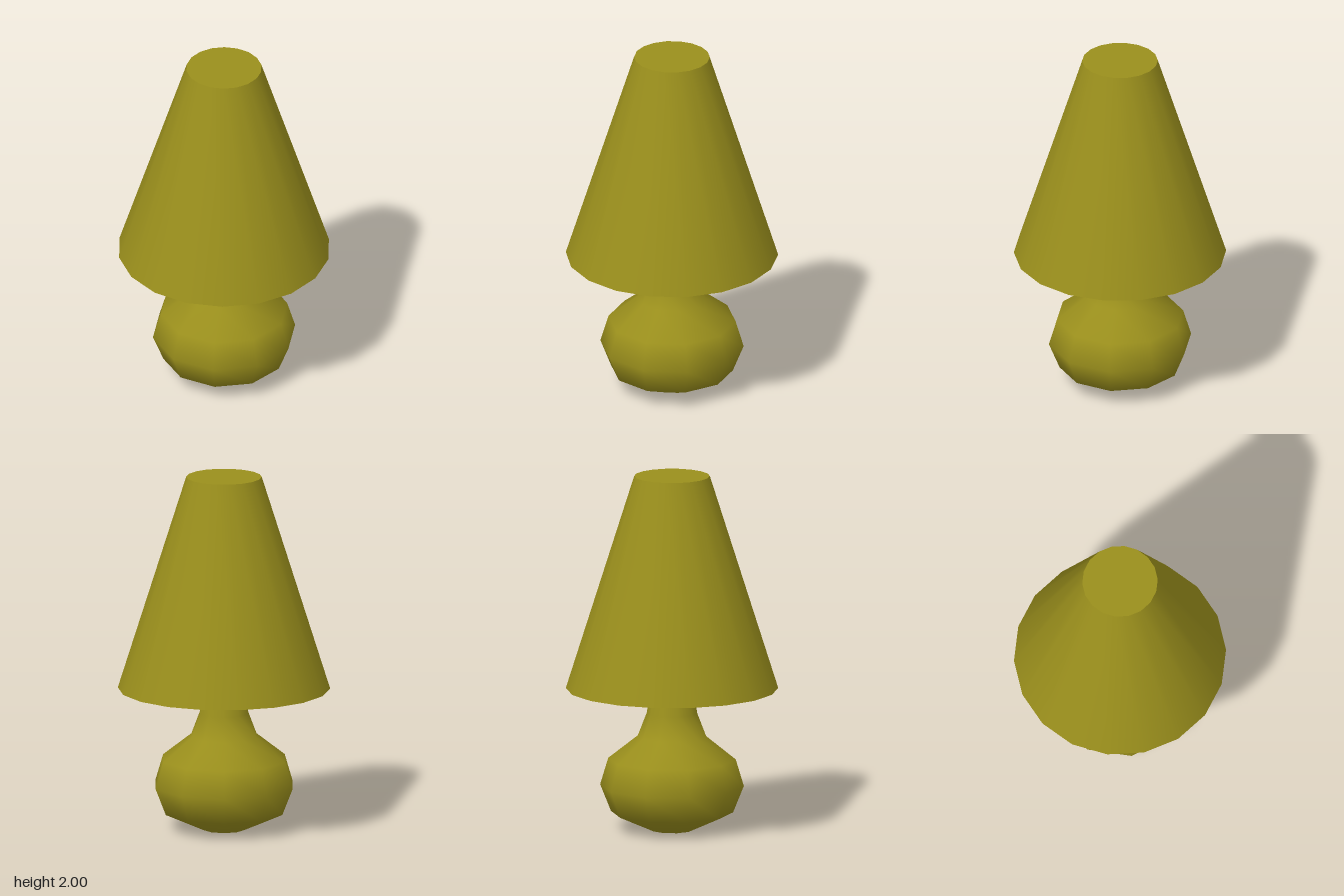
import * as THREE from 'three';

const material = new THREE.MeshStandardMaterial({ color: 0x9a8f1c });

// Turned surface from [radius, height] points; a corner faces +x
function turned(name, sides, profile) {
  const points = profile.map(([r, y]) => new THREE.Vector2(r, y));
  const mesh = new THREE.Mesh(new THREE.LatheGeometry(points, sides, Math.PI / 2), material);
  mesh.name = name;
  return mesh;
}

// Tapered bar between two points
function bar(name, from, to, r0, r1) {
  const dir = to.clone().sub(from);
  const mesh = new THREE.Mesh(new THREE.CylinderGeometry(r1, r0, dir.length(), 4).toNonIndexed(), material);
  mesh.geometry.computeVertexNormals();
  mesh.position.copy(from).add(to).multiplyScalar(0.5);
  mesh.quaternion.setFromUnitVectors(new THREE.Vector3(0, 1, 0), dir.normalize());
  mesh.name = name;
  return mesh;
}

export function createModel() {
  const lamp = new THREE.Group();
  lamp.name = 'tableLamp';

  // Round-bellied base with a tall neck
  const base = new THREE.Group();
  base.name = 'base';
  base.add(
    turned('foot', 10, [[0, 0], [0.12, 0]]),
    turned('body', 10, [
      [0.12, 0], [0.34, 0.1], [0.4, 0.25], [0.355, 0.4], [0.19, 0.53],
      [0.14, 0.66], [0.12, 0.8], [0.09, 0.86], [0, 0.87],
    ]),
  );

  // Bulb standing on the neck
  const bulb = turned('bulb', 10, [
    [0.06, 0.84], [0.065, 0.92], [0.16, 1.02], [0.175, 1.12], [0.12, 1.22], [0, 1.26],
  ]);

  // Hollow shade: separate surfaces keep the rims sharp
  const shade = new THREE.Group();
  shade.name = 'shade';
  shade.add(
    turned('outerWall', 18, [[0.59, 0.8], [0.21, 2]]),
    turned('topCap', 18, [[0.21, 2], [0, 2]]),
    turned('bottomRim', 18, [[0.545, 0.8], [0.59, 0.8]]),
    turned('innerWall', 18, [[0.18, 1.96], [0.545, 0.8]]),
    turned('ceiling', 18, [[0, 1.96], [0.18, 1.96]]),
  );

  // Three arms carry the shade
  const arms = new THREE.Group();
  arms.name = 'shadeArms';
  for (let i = 0; i < 3; i++) {
    const a = THREE.MathUtils.degToRad(73 + i * 120);
    const at = (r, y) => new THREE.Vector3(r * Math.cos(a), y, r * Math.sin(a));
    arms.add(bar('shadeArm', at(0.1, 0.743), at(0.55, 0.82), 0.03, 0.009));
  }

  lamp.add(base, bulb, shade, arms);
  return lamp;
}
